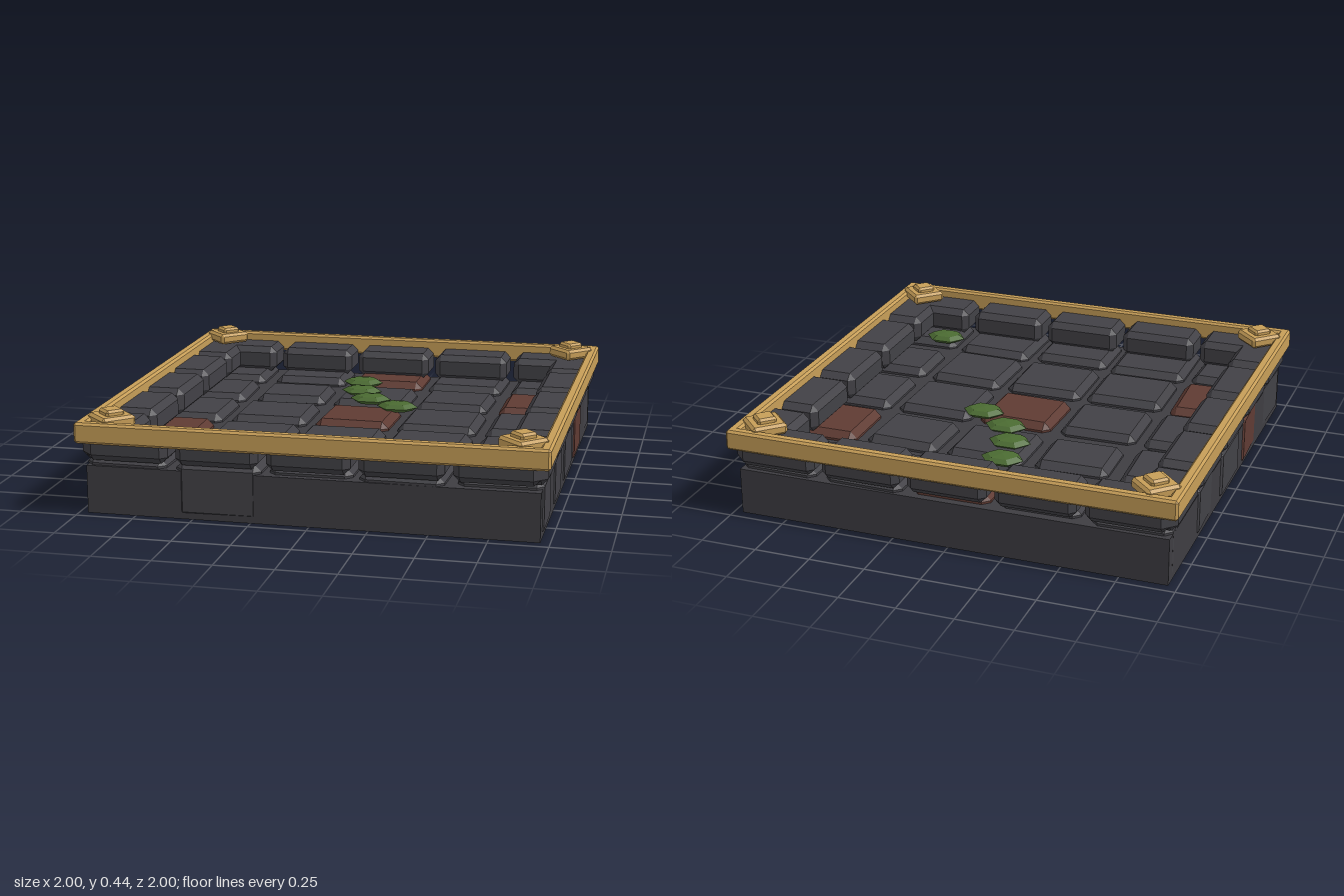
import * as THREE from 'three';
import { ConvexGeometry } from 'three/addons/geometries/ConvexGeometry.js';

const material = (name, color) => {
  const m = new THREE.MeshStandardMaterial({ color, flatShading: true });
  m.name = name;
  return m;
};

// Box with every edge chamfered by b
function chamferBox(w, h, d, b) {
  const pts = [];
  for (const sx of [-1, 1]) for (const sy of [-1, 1]) for (const sz of [-1, 1]) {
    const x = w / 2, y = h / 2, z = d / 2;
    pts.push(
      new THREE.Vector3(sx * x, sy * (y - b), sz * (z - b)),
      new THREE.Vector3(sx * (x - b), sy * y, sz * (z - b)),
      new THREE.Vector3(sx * (x - b), sy * (y - b), sz * z)
    );
  }
  return new ConvexGeometry(pts);
}

export function createModel() {
  const model = new THREE.Group();
  model.name = 'stoneFloorTile';
  const mortar = material('mortar', 0x3e3d42);
  const stone = material('darkStone', 0x424146);
  const brick = material('redStone', 0x5f3b33);
  const gold = material('gold', 0xc79e58);
  const moss = material('moss', 0x4b6b32);

  const add = (name, geo, mat, x, y, z, yaw = 0) => {
    const mesh = new THREE.Mesh(geo, mat);
    mesh.name = name;
    mesh.position.set(x, y, z);
    mesh.rotation.y = THREE.MathUtils.degToRad(yaw);
    model.add(mesh);
    return mesh;
  };

  // Mortar bed
  add('base', new THREE.BoxGeometry(1.92, 0.208, 1.92), mortar, 0, 0.106, 0);

  // Paving stones, back row first: [width, depth, yaw in degrees]
  const pitch = 0.39;
  const tiles = [
    [[0.34, 0.32, 1], [0.35, 0.28, 0.5], [0.345, 0.29, 0], [0.355, 0.33, -1.5], [0.345, 0.32, -1]],
    [[0.35, 0.33, 2], [0.33, 0.285, 1], [0.35, 0.315, -1], [0.335, 0.3, -2], [0.355, 0.325, 0.3]],
    [[0.36, 0.345, 0.5], [0.35, 0.32, 0.5], [0.34, 0.315, -1.5], [0.355, 0.335, -1], [0.355, 0.34, 0]],
    [[0.35, 0.345, 2], [0.36, 0.32, 0.5], [0.36, 0.335, 0], [0.35, 0.335, -2], [0.355, 0.29, 0.3]],
    [[0.35, 0.34, -1.5], [0.365, 0.366, 0.6], [0.355, 0.3, 0], [0.355, 0.352, -1.5], [0.355, 0.29, 0.5]]
  ];
  const redTiles = ['0,2', '1,4', '2,2', '3,0'];
  tiles.forEach((row, r) => row.forEach(([w, d, yaw], c) => {
    const red = redTiles.includes(`${r},${c}`);
    const bottom = red ? 0 : 0.004, top = 0.25;
    const nudge = c === 0 ? -0.008 : c === 4 ? 0.008 : 0;
    add('pavingStone', chamferBox(w, top - bottom, d, 0.03), red ? brick : stone,
      (c - 2) * pitch + nudge, (top + bottom) / 2, (r - 2) * pitch, yaw);
  }));

  // Raised border stones under the frame, five to a side
  const borderStone = chamferBox(0.355, 0.125, 0.2, 0.028);
  for (let i = -2; i <= 2; i++) {
    for (const s of [-1, 1]) {
      add('borderStone', borderStone, stone, i * pitch, 0.298, s * 0.885);
      add('borderStone', borderStone, stone, s * 0.885, 0.298, i * pitch, 90);
    }
  }

  // Gold frame
  const beam = chamferBox(2, 0.09, 0.048, 0.01);
  for (const s of [-1, 1]) {
    add('frameBeam', beam, gold, 0, 0.357, s * 0.976);
    add('frameBeam', beam, gold, s * 0.976, 0.357, 0, 90);
  }

  // Stepped diamond studs on the corners
  const plate = chamferBox(0.155, 0.05, 0.155, 0.012);
  const cap = chamferBox(0.085, 0.035, 0.085, 0.01);
  for (const sx of [-1, 1]) for (const sz of [-1, 1]) {
    add('cornerPlate', plate, gold, sx * 0.873, 0.393, sz * 0.873, 45);
    add('cornerCap', cap, gold, sx * 0.873, 0.423, sz * 0.873, 45);
  }

  // Moss clumps
  const clump = new THREE.SphereGeometry(1, 6, 4);
  for (const [x, z] of [[-0.1, -0.57], [-0.07, -0.395], [0.005, -0.245], [0.157, -0.125], [0.67, 0.675]]) {
    add('mossClump', clump, moss, x, 0.26, z).scale.set(0.097, 0.024, 0.075);
  }
  return model;
}
